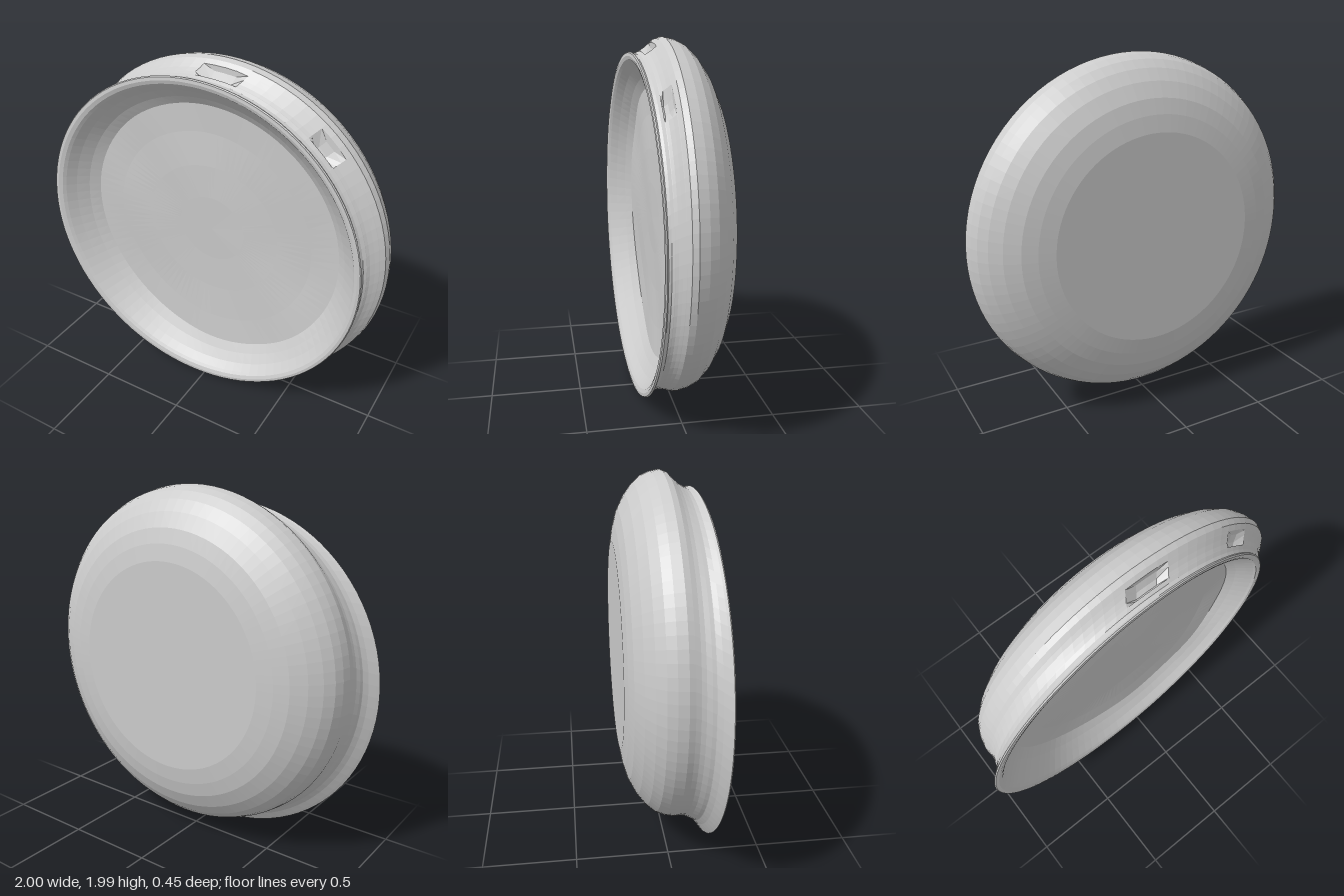
import * as THREE from 'three';

const SEG = 96;
const TILT = -0.033; // the front rim leans slightly about the vertical axis

// Two small slots in the upper side wall: angle, half width, depth
const slots = [
  { angle: 1.52, half: 0.1, depth: 0.045 },
  { angle: 0.815, half: 0.08, depth: 0.045 },
];

// Gentle hand-worked unevenness
const wobble = (x, y) =>
  Math.sin(3.1 * x + 1.7 * y) * 0.5 + Math.sin(5.3 * y - 2.2 * x + 1) * 0.3 + Math.sin(9 * x + 7 * y) * 0.2;

// Lofts circular sections: r, centre x, centre y, z, tilt (0..1), dent (0..1), bump
function loft(name, rings, material) {
  const pos = [];
  const index = [];
  rings.forEach(([r, cx, cy, z, tilt = 0, dent = 0, bump = 0]) => {
    for (let j = 0; j <= SEG; j++) {
      const a = ((j % SEG) / SEG) * Math.PI * 2;
      let radius = r;
      for (const s of slots) {
        if (Math.abs(a - s.angle) < s.half) radius -= s.depth * dent;
      }
      const x = cx + radius * Math.cos(a);
      const y = cy + radius * Math.sin(a);
      pos.push(x, y, z + tilt * TILT * x + bump * wobble(x, y));
    }
  });
  const row = SEG + 1;
  for (let i = 0; i < rings.length - 1; i++) {
    for (let j = 0; j < SEG; j++) {
      const a = i * row + j;
      const b = a + 1;
      const c = a + row;
      const d = c + 1;
      if (rings[i][0] > 0) index.push(a, b, c);
      if (rings[i + 1][0] > 0) index.push(b, d, c);
      else if (rings[i][0] === 0) index.push(b, d, c);
    }
  }
  const geometry = new THREE.BufferGeometry();
  geometry.setAttribute('position', new THREE.Float32BufferAttribute(pos, 3));
  geometry.setIndex(index);
  geometry.computeVertexNormals();
  const mesh = new THREE.Mesh(geometry, material);
  mesh.name = name;
  return mesh;
}

export function createModel() {
  const group = new THREE.Group();
  group.name = 'roundDish';
  const grey = new THREE.MeshStandardMaterial({ color: 0xcccccc, flatShading: true });

  // Rounded back with a flat base
  const bx = 0.035;
  const by = 1.03;
  const backShell = loft('backShell', [
    [0, bx, by, -0.23],
    [0.58, bx, by, -0.23],
    [0.67, bx, by, -0.216],
    [0.75, bx, by, -0.195],
    [0.83, bx, by, -0.155],
    [0.89, bx, by, -0.11],
    [0.93, bx, by, -0.065],
    [0.95, bx, by, -0.02],
    [0.96, bx, by, 0.03],
    [0.953, 0.032, 1.026, 0.06],
  ], grey);

  // Side wall sliding over to the off-centre rim, with the slots pressed in
  const sideWall = loft('sideWall', [
    [0.953, 0.032, 1.026, 0.06],
    [0.942, 0.022, 1.017, 0.08, 0.1],
    [0.941, 0.021, 1.016, 0.082, 0.1, 0.6],
    [0.934, 0.01, 1.006, 0.1, 0.25, 1],
    [0.93, -0.004, 0.995, 0.12, 0.4, 1],
    [0.928, -0.011, 0.988, 0.135, 0.5, 0.6],
    [0.928, -0.012, 0.987, 0.137, 0.5],
    [0.932, -0.028, 0.974, 0.155, 0.7],
    [0.946, -0.045, 0.961, 0.175, 0.9],
  ], grey);

  // Rolled front lip
  const frontLip = loft('frontLip', [
    [0.946, -0.045, 0.961, 0.175, 0.9],
    [0.955, -0.05, 0.957, 0.184, 1],
    [0.95, -0.05, 0.957, 0.191, 1, 0, 0.002],
    [0.932, -0.048, 0.958, 0.193, 1, 0, 0.002],
    [0.912, -0.044, 0.96, 0.187, 1],
    [0.898, -0.04, 0.962, 0.175, 1],
  ], grey);

  // Sloping inner wall and uneven floor
  const dishInside = loft('dishInside', [
    [0.898, -0.04, 0.962, 0.175, 1],
    [0.86, -0.034, 0.965, 0.14, 0.8],
    [0.81, -0.026, 0.97, 0.1, 0.6, 0, 0.008],
    [0.76, -0.018, 0.975, 0.068, 0.5, 0, 0.015],
    [0.6, -0.015, 0.98, 0.06, 0.4, 0, 0.018],
    [0.4, -0.01, 0.99, 0.06, 0.3, 0, 0.018],
    [0.2, -0.01, 1.0, 0.06, 0.3, 0, 0.015],
    [0, -0.01, 1.0, 0.06, 0.3, 0, 0.015],
  ], grey);

  group.add(backShell, sideWall, frontLip, dishInside);
  return group;
}
